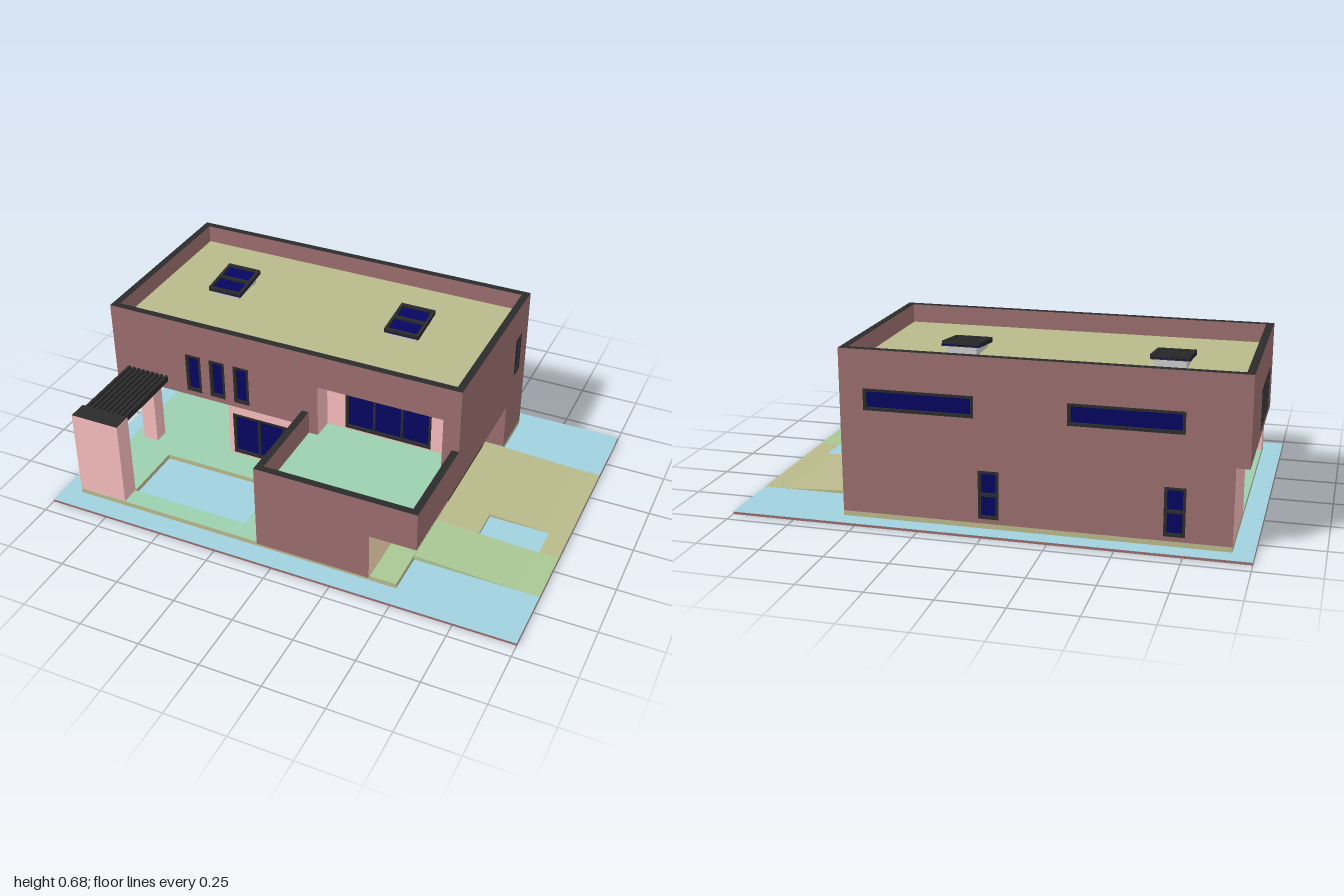
import * as THREE from 'three';

const mat = (color) => new THREE.MeshStandardMaterial({ color, side: THREE.DoubleSide });
const M = {
  brown: mat(0x9a6d6d), pink: mat(0xf6bcbc), beige: mat(0xf8dcb6), olive: mat(0xb9b98b),
  green: mat(0x9acfae), path: mat(0xaac793), blue: mat(0xa0d0de), glass: mat(0x060660),
  dark: mat(0x2b2b2b), grey: mat(0xcccccc),
};

export function createModel() {
  const house = new THREE.Group();
  house.name = 'house';

  const add = (name, geo, m, parent = house) => {
    const mesh = new THREE.Mesh(geo, m);
    mesh.name = name;
    parent.add(mesh);
    return mesh;
  };
  // box given by its limits
  const box = (name, x0, x1, y0, y1, z0, z1, m, parent) => {
    const g = new THREE.BoxGeometry(x1 - x0, y1 - y0, z1 - z0);
    g.translate((x0 + x1) / 2, (y0 + y1) / 2, (z0 + z1) / 2);
    return add(name, g, m, parent);
  };
  // vertical sheet following a plan path of [x, z] points
  const wall = (name, pts, y0, y1, m) => {
    const pos = [];
    for (let i = 0; i + 1 < pts.length; i++) {
      const [a, b] = pts[i], [c, d] = pts[i + 1];
      pos.push(a, y0, b, c, y0, d, c, y1, d, a, y0, b, c, y1, d, a, y1, b);
    }
    const g = new THREE.BufferGeometry();
    g.setAttribute('position', new THREE.Float32BufferAttribute(pos, 3));
    g.computeVertexNormals();
    return add(name, g, m);
  };
  const vectors = (pts) => pts.map((p) => new THREE.Vector2(...p));
  const rect = (x0, x1, z0, z1) => [[x0, z0], [x1, z0], [x1, z1], [x0, z1]];
  const loop = (p) => [...p, p[0]];
  // horizontal sheet with a plan outline of [x, z] points
  const flat = (name, pts, y, m, hole) => {
    const flip = (p) => vectors(p.map(([x, z]) => [x, -z]));
    const s = new THREE.Shape(flip(pts));
    if (hole) s.holes.push(new THREE.Path(flip(hole)));
    return add(name, new THREE.ShapeGeometry(s).rotateX(-Math.PI / 2).translate(0, y, 0), m);
  };
  // framed window facing +z, split into columns and rows, its pane set back
  const win = (name, x, y, w, h, cols, rows, parent) => {
    const g = new THREE.Group(), f = 0.011;
    g.name = name;
    box('pane', -w / 2, w / 2, -h / 2, h / 2, -0.016, -0.012, M.glass, g);
    for (let i = 0; i <= cols; i++) {
      const t = i % cols ? f / 3 : f / 2, c = -w / 2 + f / 2 + (w - f) * i / cols;
      box('frameUpright', c - t, c + t, -h / 2, h / 2, -0.02, 0, M.dark, g);
    }
    for (let i = 0; i <= rows; i++) {
      const c = -h / 2 + f / 2 + (h - f) * i / rows;
      box('frameRail', -w / 2, w / 2, c - f / 2, c + f / 2, -0.02, 0, M.dark, g);
    }
    g.position.set(x, y, 0);
    parent.add(g);
    return g;
  };
  // wall panel turned to face outwards, with windows [u, y, width, height, columns, rows]
  const panel = (name, outline, m, x, z, turn, windows) => {
    const g = new THREE.Group(), s = new THREE.Shape(vectors(outline));
    g.name = name;
    for (const [u, y, w, h, cols = 1, rows = 1] of windows) {
      s.holes.push(new THREE.Path(vectors(rect(u - w / 2, u + w / 2, y - h / 2, y + h / 2))));
      win('window', u, y, w, h, cols, rows, g);
    }
    add('wallFace', new THREE.ShapeGeometry(s), m, g);
    g.position.set(x, 0, z);
    g.rotation.y = turn;
    house.add(g);
  };
  const right = Math.PI / 2, left = -right, back = Math.PI;

  // plot
  flat('lawn', [[-1, -0.695], [1, -0.695], [1, -0.4], [0.57, -0.4], [0.57, -0.62], [-0.92, -0.62],
    [-0.92, 0.6], [0.49, 0.6], [0.49, 0.42], [1, 0.42], [1, 0.69], [-1, 0.69]], 0.01, M.blue);
  wall('plotEdge', loop(rect(-1, 1, -0.695, 0.69)), 0, 0.01, M.brown);
  wall('plinth', [[0.57, -0.4], [0.57, -0.62], [-0.92, -0.62], [-0.92, 0.6], [0.49, 0.6], [0.49, 0.42]], 0, 0.03, M.olive);

  // terrace and pool
  const pool = rect(-0.71, -0.2, 0.25, 0.52);
  flat('terrace', [[-0.92, 0.6], [-0.1, 0.6], [-0.1, 0.12], [-0.48, 0.12], [-0.48, -0.26], [-0.92, -0.26]], 0.03, M.green, pool);
  flat('poolWater', pool, 0.01, M.blue);
  wall('poolEdge', loop(pool), 0.01, 0.03, M.olive);

  // sloping driveway and path
  const slope = (name, x0, x1, z0, z1, m) => {
    const h = (x) => Math.max(0.011, 0.03 - (x - 0.49) * 0.046);
    const s = new THREE.Shape();
    s.moveTo(x0, 0.002).lineTo(x1, 0.002).lineTo(x1, h(x1));
    if (x0 < 0.9 && x1 > 0.9) s.lineTo(0.9, h(0.9));
    s.lineTo(x0, h(x0));
    const g = new THREE.ExtrudeGeometry(s, { depth: z1 - z0, bevelEnabled: false }).translate(0, 0, z0);
    add(name, g, m);
  };
  slope('driveway', 0.49, 1, -0.4, 0.05, M.olive);
  slope('drivewayStrip', 0.49, 0.67, 0.05, 0.18, M.olive);
  slope('drivewayEnd', 0.92, 1, 0.05, 0.18, M.olive);
  slope('path', 0.49, 1, 0.18, 0.42, M.path);
  flat('plantingBed', rect(0.67, 0.92, 0.05, 0.18), 0.01, M.blue);
  box('entrySlab', 0.38, 0.489, 0.002, 0.03, 0.18, 0.599, M.path);

  // ground floor walls
  wall('recessedWall', [[-0.92, -0.62], [-0.92, -0.26], [-0.48, -0.26]], 0.03, 0.33, M.pink);
  panel('terraceSideWall', rect(-0.26, 0.12, 0.03, 0.33), M.pink, -0.48, 0, left, [[-0.08, 0.137, 0.32, 0.2, 3]]);
  panel('terraceWall', rect(-0.48, -0.1, 0.03, 0.33), M.pink, 0, 0.12, 0, [[-0.282, 0.137, 0.355, 0.2, 3]]);
  wall('terraceReturn', [[-0.1, 0.12], [-0.1, 0.19]], 0.03, 0.33, M.pink);
  flat('overhangSoffit', [[-0.97, -0.62], [-0.92, -0.62], [-0.92, -0.26], [-0.48, -0.26], [-0.48, 0.12],
    [-0.1, 0.12], [-0.1, 0.19], [-0.97, 0.19]], 0.33, M.pink);
  box('porchColumn', -0.87, -0.805, 0.032, 0.328, 0.12, 0.185, M.pink);

  // right wall, garage recess and entrance
  wall('rightWallBack', [[0.57, -0.62], [0.57, -0.4]], 0.03, 0.235, M.brown);
  panel('rightWall', rect(-0.19, 0.62, 0.235, 0.675), M.brown, 0.57, 0, right, [[0.505, 0.438, 0.07, 0.175]]);
  wall('garageReveal', [[0.57, -0.4], [0.49, -0.4]], 0.03, 0.235, M.brown);
  wall('garageWall', [[0.49, -0.4], [0.49, 0.19], [0.38, 0.19]], 0.03, 0.235, M.pink);
  panel('entranceWall', rect(-0.61, -0.19, 0.03, 0.235), M.beige, 0.38, 0, right, [[-0.363, 0.135, 0.07, 0.19]]);
  flat('entranceSoffit', [[0.49, -0.4], [0.57, -0.4], [0.57, 0.61], [0.38, 0.61], [0.38, 0.19], [0.49, 0.19]], 0.235, M.pink);
  box('garageDoor', 0.486, 0.492, 0.035, 0.232, -0.36, 0.055, M.dark);
  box('frontDoor', 0.376, 0.382, 0.035, 0.232, 0.21, 0.31, M.dark);
  box('frontDoorPane', 0.375, 0.383, 0.19, 0.215, 0.23, 0.29, M.glass);

  // front wing with roof terrace
  panel('wingLeftWall', rect(0.19, 0.61, 0.03, 0.4), M.brown, -0.1, 0, left, [[0.39, 0.137, 0.38, 0.2, 3]]);
  wall('wingFrontWall', [[-0.1, 0.61], [0.38, 0.61]], 0.03, 0.235, M.brown);
  wall('wingUpperWall', [[-0.1, 0.61], [0.57, 0.61], [0.57, 0.19]], 0.235, 0.4, M.brown);
  wall('wingParapetInside', [[-0.07, 0.19], [-0.07, 0.58], [0.54, 0.58], [0.54, 0.19]], 0.3, 0.4, M.brown);
  flat('roofTerrace', [[-0.07, 0.19], [-0.03, 0.19], [-0.03, 0.1], [0.5, 0.1], [0.5, 0.19], [0.54, 0.19], [0.54, 0.58], [-0.07, 0.58]], 0.3, M.green);
  flat('wingCoping', [[-0.1, 0.19], [-0.07, 0.19], [-0.07, 0.58], [0.54, 0.58], [0.54, 0.19], [0.57, 0.19],
    [0.57, 0.61], [-0.1, 0.61]], 0.4, M.dark);

  // upper floor, with the back wall running down to the plinth
  panel('backWall', [[-0.57, 0.03], [0.92, 0.03], [0.92, 0.33], [0.97, 0.33], [0.97, 0.675], [-0.57, 0.675]], M.brown, 0, -0.62, back,
    [[-0.262, 0.482, 0.43, 0.085], [0.522, 0.482, 0.43, 0.085], [0.008, 0.143, 0.08, 0.19, 1, 2], [0.707, 0.143, 0.08, 0.19, 1, 2]]);
  panel('upperLeftWall', rect(-0.62, 0.19, 0.33, 0.675), M.brown, -0.97, 0, left, [[-0.08, 0.438, 0.34, 0.165, 3]]);
  panel('upperFrontWall', [[-0.97, 0.33], [-0.1, 0.33], [-0.1, 0.3], [-0.03, 0.3], [-0.03, 0.53], [0.5, 0.53],
    [0.5, 0.3], [0.57, 0.3], [0.57, 0.675], [-0.97, 0.675]], M.brown, 0, 0.19, 0,
    [-0.594, -0.484, -0.374].map((x) => [x, 0.44, 0.07, 0.175]));
  panel('balconyWall', rect(-0.03, 0.5, 0.3, 0.53), M.pink, 0, 0.1, 0, [[0.235, 0.415, 0.37, 0.22, 3]]);
  for (const x of [-0.03, 0.5]) wall('balconyReveal', [[x, 0.1], [x, 0.19]], 0.3, 0.53, M.pink);
  flat('balconyCeiling', rect(-0.03, 0.5, 0.1, 0.19), 0.53, M.pink);

  // main roof with parapet
  const inner = rect(-0.94, 0.54, -0.59, 0.16);
  flat('roof', inner, 0.6, M.olive);
  wall('parapetInside', loop(inner), 0.6, 0.675, M.brown);
  flat('coping', rect(-0.97, 0.57, -0.62, 0.19), 0.675, M.dark, inner);

  // skylights, leaning gently to the front
  for (const x of [-0.635, 0.175]) {
    const s = new THREE.Shape(vectors([[0.34, 0.6], [0.34, 0.64], [0.18, 0.622], [0.18, 0.6]]));
    add('skylightBase', new THREE.ExtrudeGeometry(s, { depth: 0.12, bevelEnabled: false })
      .rotateY(right).translate(x - 0.06, 0, 0), M.grey);
    const top = win('skylight', x, 0.647, 0.15, 0.187, 1, 2, house);
    top.position.z = -0.26;
    top.rotation.x = -right + 0.11;
  }

  // pergola
  box('pergolaPier', -0.92, -0.71, 0.032, 0.398, 0.52, 0.6, M.pink);
  flat('pergolaPierCap', rect(-0.92, -0.71, 0.52, 0.6), 0.4, M.dark);
  for (let i = 0; i < 9; i++) {
    const x = -0.905 + i * 0.0222;
    box('pergolaSlat', x - 0.006, x + 0.006, 0.368, 0.396, 0.19, 0.52, M.dark);
  }
  return house;
}
